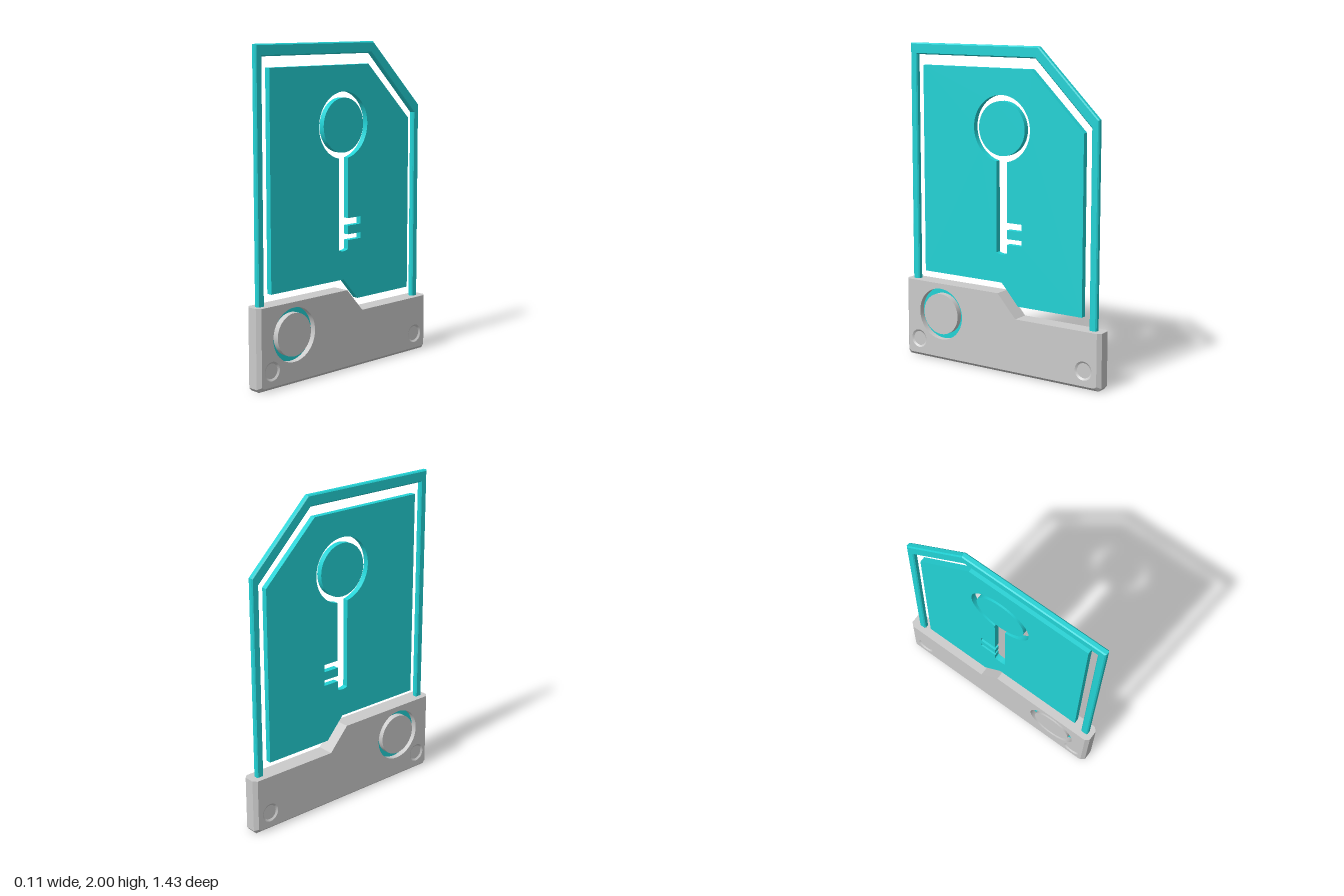
import * as THREE from 'three';
import { mergeGeometries, toCreasedNormals } from 'three/addons/utils/BufferGeometryUtils.js';

const grey = new THREE.MeshStandardMaterial({ color: 0xcccccc });
const cyan = new THREE.MeshStandardMaterial({ color: 0x22d3d6 });

// Profiles are drawn as (u, y) with u = -z, and given depth along x.
const toShape = (pts) => new THREE.Shape(pts.map(([u, y]) => new THREE.Vector2(u, y)));

function circle(u, y, r, n = 48) {
  return Array.from({ length: n }, (_, i) => {
    const a = (i / n) * Math.PI * 2;
    return [u + r * Math.cos(a), y + r * Math.sin(a)];
  });
}

// Turns a profile geometry into a named mesh standing in the y-z plane.
function part(name, geometry, material) {
  const mesh = new THREE.Mesh(toCreasedNormals(geometry, 0.4).rotateY(Math.PI / 2), material);
  mesh.name = name;
  return mesh;
}

// Plate centred on x = 0, with an optional chamfer inside its outline.
function plate(shape, half, bevel = 0) {
  return new THREE.ExtrudeGeometry(shape, {
    depth: 2 * (half - bevel), curveSegments: 48, bevelEnabled: bevel > 0,
    bevelThickness: bevel, bevelSize: bevel, bevelOffset: -bevel, bevelSegments: 1,
  }).translate(0, 0, bevel - half);
}

// Wall between two loops with equal point counts, at depths da and db.
function band(a, da, b, db) {
  const pos = [];
  a.forEach((p, i) => {
    const j = (i + 1) % a.length;
    pos.push(...p, da, ...a[j], da, ...b[j], db, ...p, da, ...b[j], db, ...b[i], db);
  });
  return new THREE.BufferGeometry().setAttribute('position', new THREE.Float32BufferAttribute(pos, 3));
}

// Flat face at a given depth.
function cap(shape, depth) {
  const g = new THREE.ShapeGeometry(shape).toNonIndexed().translate(0, 0, depth);
  g.deleteAttribute('uv');
  g.deleteAttribute('normal');
  return g;
}

// Mirrored copy with the corner order reversed.
function mirrored(g) {
  const m = g.clone().scale(1, 1, -1);
  const p = m.attributes.position;
  for (let i = 0; i < p.count; i += 3) {
    const v = [p.getX(i), p.getY(i), p.getZ(i)];
    p.setXYZ(i, p.getX(i + 1), p.getY(i + 1), p.getZ(i + 1));
    p.setXYZ(i + 1, ...v);
  }
  return m;
}

const HALF = 0.055;  // half thickness of the base
const THIN = 0.018;  // half thickness of the cyan parts
const RING = [-0.44, 0.302];

// Stepped base: chamfered ends and bottom, ring groove and two dimples per side.
function baseGeometry() {
  const outline = [[-0.7, 0], [0.7, 0], [0.717, 0.02], [0.717, 0.355], [0.125, 0.355],
    [-0.005, 0.5], [-0.717, 0.5], [-0.717, 0.02]];
  const inset = outline.map(([u, y]) => [
    Math.abs(u) > 0.5 ? u * 0.968 : u,
    y < 0.03 ? 0.02 + y * 0.6 : y,
  ]);
  const face = toShape(inset);
  const groove = circle(...RING, 0.165);
  face.holes.push(toShape(groove));
  const pieces = [
    band(outline, 0, outline, 0.033),
    band(outline, 0.033, inset, HALF),
    band(groove, HALF, groove, 0),
  ];
  for (const u of [-0.615, 0.605]) {
    const rim = circle(u, 0.115, 0.058);
    const floor = circle(u, 0.115, 0.046);
    face.holes.push(toShape(rim));
    pieces.push(band(rim, HALF, floor, HALF - 0.008), cap(toShape(floor), HALF - 0.008));
  }
  pieces.push(cap(face, HALF));
  const half = mergeGeometries(pieces);
  return mergeGeometries([half, mirrored(half)]);
}

// Inner panel with a key-shaped cut-out.
function panelShape() {
  const shape = toShape([[-0.585, 0.56], [0, 0.56], [0.12, 0.425], [0.57, 0.425],
    [0.57, 1.515], [0.21, 1.865], [-0.585, 1.865]]);
  const w = 0.038, r = 0.202, a = Math.asin(w / r);
  const key = new THREE.Path();
  key.absarc(0, 1.505, r, -Math.PI / 2 + a, 1.5 * Math.PI - a, false);
  key.lineTo(-w, 0.745);
  key.quadraticCurveTo(0, 0.727, w, 0.745);
  for (const [low, high] of [[0.8, 0.836], [0.89, 0.936]]) {
    key.lineTo(w, low);
    key.lineTo(0.145, low);
    key.lineTo(0.145, high);
    key.lineTo(w, high);
  }
  shape.holes.push(key);
  return shape;
}

export function createModel() {
  const group = new THREE.Group();
  group.name = 'keyCard';

  // Open frame, its feet buried in the base
  const frame = toShape([[-0.685, 0.3], [-0.637, 0.3], [-0.637, 1.93], [0.235, 1.93],
    [0.62, 1.547], [0.62, 0.3], [0.668, 0.3], [0.668, 1.595], [0.255, 2], [-0.685, 2]]);
  group.add(part('frame', plate(frame, THIN, 0.007), cyan));

  // Panel and the loose disc inside the key's bow
  group.add(part('panel', plate(panelShape(), THIN), cyan));
  group.add(part('keyDisc', plate(toShape(circle(0, 1.505, 0.165)), THIN), cyan));

  // Base with a cyan ring sunk around a flush button
  group.add(part('base', baseGeometry(), grey));
  const ring = toShape(circle(...RING, 0.17));
  ring.holes.push(toShape(circle(...RING, 0.12)));
  group.add(part('sunkenRing', plate(ring, THIN), cyan));
  group.add(part('button', plate(toShape(circle(...RING, 0.131)), HALF), grey));

  return group;
}
